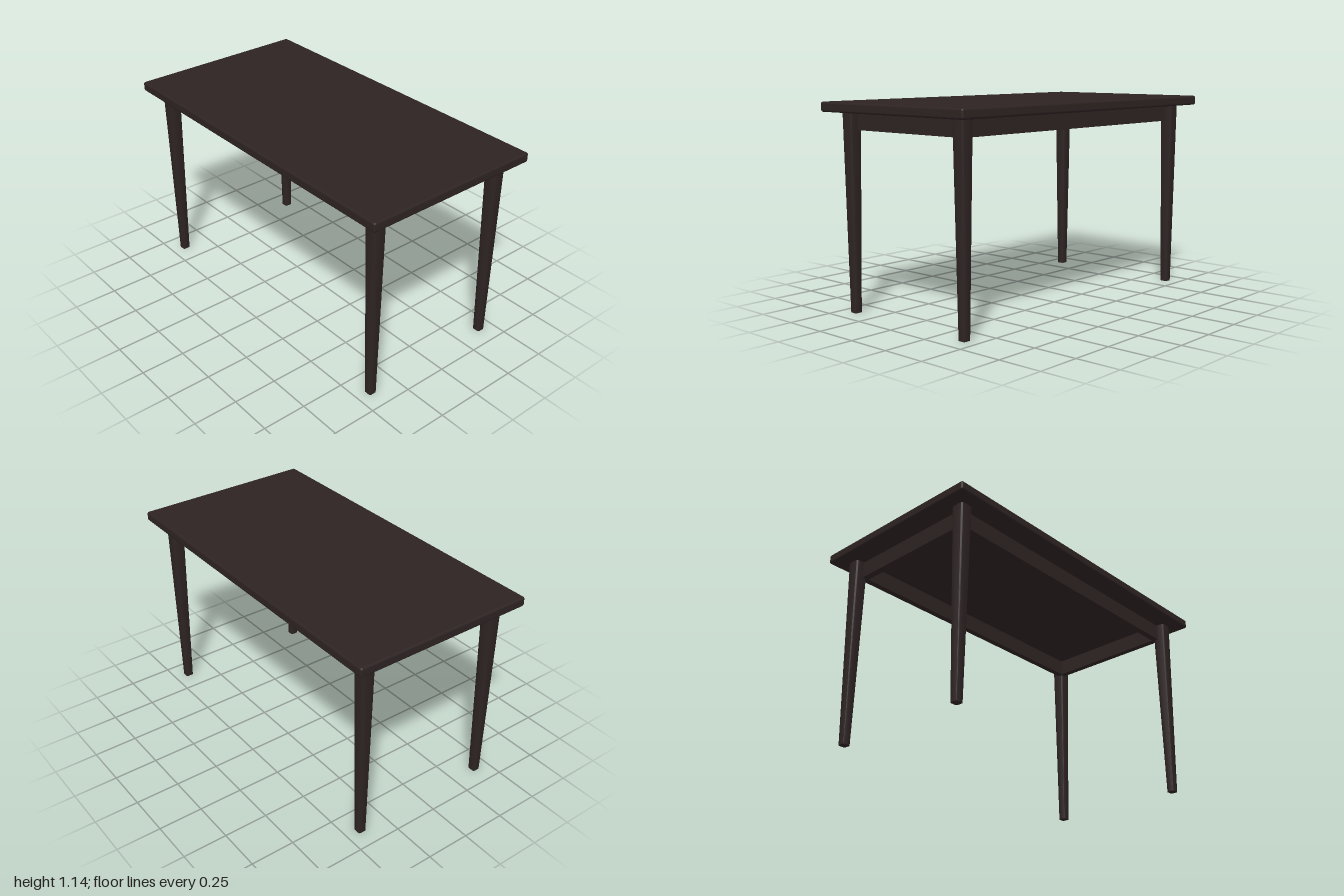
import * as THREE from 'three';
import { toCreasedNormals } from 'three/addons/utils/BufferGeometryUtils.js';
import { RoundedBoxGeometry } from 'three/addons/geometries/RoundedBoxGeometry.js';

const TOP_Y = 1.14, UNDER_Y = 1.086, APRON_Y = 0.99;
const LEG_X = 0.884, LEG_Z = 0.412, LEG_TOP = 0.078, LEG_FOOT = 0.046;

// Square leg with rounded corners, tapering evenly to the foot
function legGeometry() {
  const h = LEG_TOP / 2, r = LEG_TOP * 0.22;
  const shape = new THREE.Shape();
  shape.absarc(h - r, h - r, r, 0, Math.PI / 2);
  shape.absarc(-h + r, h - r, r, Math.PI / 2, Math.PI);
  shape.absarc(-h + r, -h + r, r, Math.PI, Math.PI * 1.5);
  shape.absarc(h - r, -h + r, r, Math.PI * 1.5, Math.PI * 2);
  const geo = new THREE.ExtrudeGeometry(shape, { depth: UNDER_Y, bevelEnabled: false, curveSegments: 6 });
  geo.rotateX(-Math.PI / 2);
  const p = geo.attributes.position;
  for (let i = 0; i < p.count; i++) {
    const s = THREE.MathUtils.lerp(LEG_FOOT / LEG_TOP, 1, p.getY(i) / UNDER_Y);
    p.setX(i, p.getX(i) * s);
    p.setZ(i, p.getZ(i) * s);
  }
  return toCreasedNormals(geo, 0.6);
}

export function createModel() {
  const model = new THREE.Group();
  model.name = 'table';
  const wood = new THREE.MeshStandardMaterial({ color: 0x2e2323 });
  wood.name = 'dark wood';

  const add = (name, geo, x, y, z) => {
    const mesh = new THREE.Mesh(geo, wood);
    mesh.name = name;
    mesh.position.set(x, y, z);
    model.add(mesh);
  };

  // Tabletop with softened edges
  const thick = TOP_Y - UNDER_Y;
  add('tabletop', new RoundedBoxGeometry(2, thick, 1.056, 4, 0.012), 0, UNDER_Y + thick / 2, 0);

  // Four legs
  const leg = legGeometry();
  for (const [sx, side] of [[1, 'left'], [-1, 'right']]) {
    for (const [sz, end] of [[1, 'Front'], [-1, 'Back']]) {
      add(side + end + 'Leg', leg, sx * LEG_X, 0, sz * LEG_Z);
    }
  }

  // Apron rails joining the legs under the top
  const railH = UNDER_Y - APRON_Y, railY = APRON_Y + railH / 2, railT = 0.036;
  const railX = 0.858, railZ = 0.387;
  const longRail = new THREE.BoxGeometry(railX * 2 + railT, railH, railT);
  const shortRail = new THREE.BoxGeometry(railT, railH, railZ * 2 - railT);
  for (const s of [1, -1]) {
    add(s > 0 ? 'frontApron' : 'backApron', longRail, 0, railY, s * railZ);
    add(s > 0 ? 'leftApron' : 'rightApron', shortRail, s * railX, railY, 0);
  }
  return model;
}
